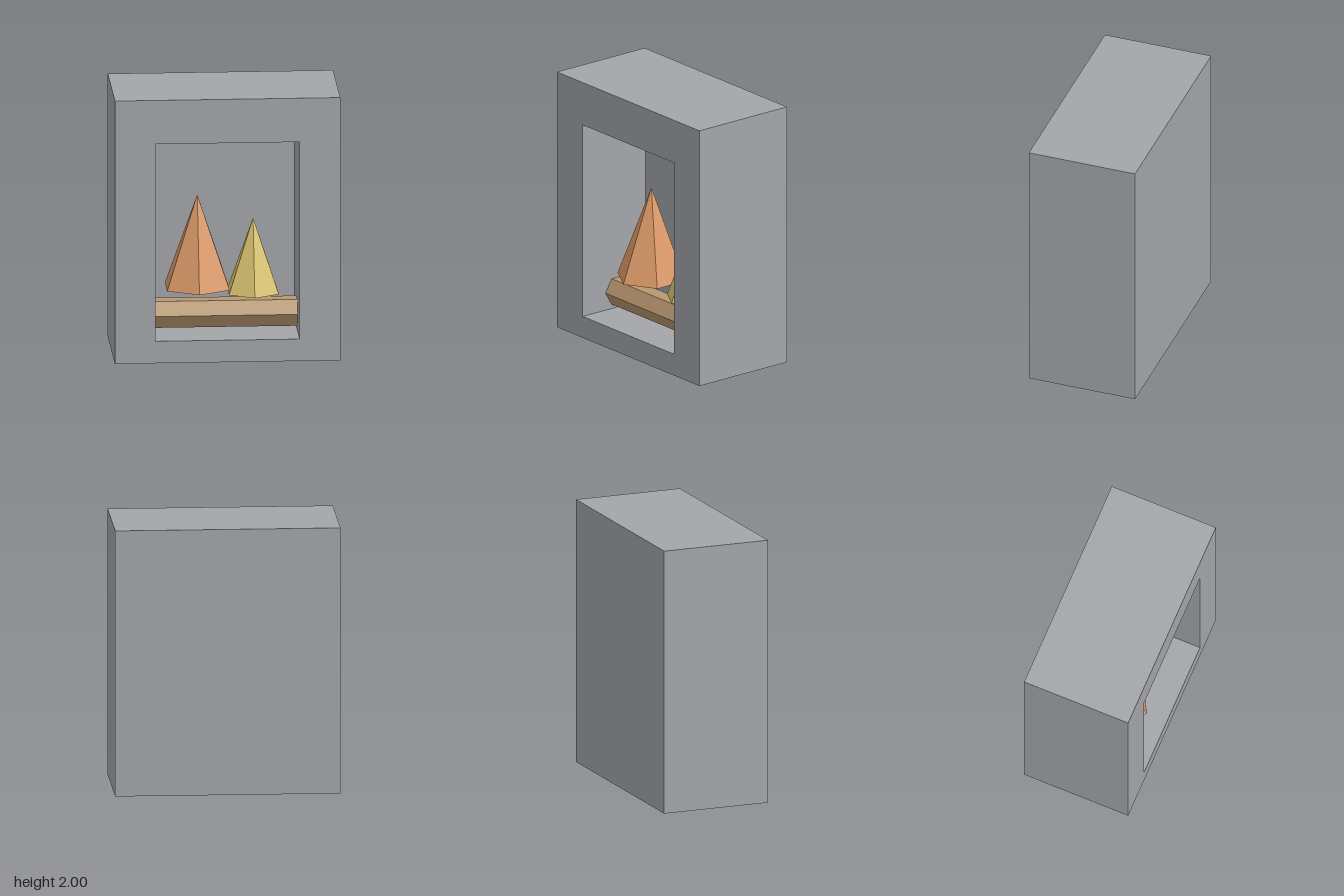
import * as THREE from 'three';

const WIDTH = 1.667, HEIGHT = 2, DEPTH = 0.833;
const OPENING = { halfWidth: 0.533, bottom: 0.167, top: 1.667, depth: 0.6 };

const material = (name, color) => {
  const m = new THREE.MeshStandardMaterial({ color });
  m.name = name;
  return m;
};

// Traces a rectangle into a shape or hole path
function rectangle(path, x, y0, y1) {
  path.moveTo(-x, y0);
  path.lineTo(x, y0);
  path.lineTo(x, y1);
  path.lineTo(-x, y1);
  path.closePath();
  return path;
}

export function createModel() {
  const group = new THREE.Group();
  group.name = 'fireplace';

  const stone = material('grey stone', 0xa3a5a9);
  const wood = material('brown wood', 0xb8976f);
  const orange = material('orange flame', 0xdc9a69);
  const yellow = material('yellow flame', 0xdac470);

  const add = (name, geometry, mat, x, y, z) => {
    // Separate corners give each face its own normal
    const flat = geometry.index ? geometry.toNonIndexed() : geometry;
    flat.computeVertexNormals();
    const mesh = new THREE.Mesh(flat, mat);
    mesh.name = name;
    mesh.position.set(x, y, z);
    group.add(mesh);
    return mesh;
  };

  // Surround with a rectangular opening, closed by a thick back wall
  const outline = rectangle(new THREE.Shape(), WIDTH / 2, 0, HEIGHT);
  outline.holes.push(rectangle(new THREE.Path(), OPENING.halfWidth, OPENING.bottom, OPENING.top));
  const surround = new THREE.ExtrudeGeometry(outline, { depth: OPENING.depth, bevelEnabled: false });
  const backZ = DEPTH / 2 - OPENING.depth;
  add('surround', surround, stone, 0, 0, backZ);
  const wall = DEPTH - OPENING.depth;
  add('backWall', new THREE.BoxGeometry(WIDTH, HEIGHT, wall), stone, 0, HEIGHT / 2, backZ - wall / 2);

  // Six-sided log lying across the opening, flat side up
  const log = new THREE.CylinderGeometry(0.1155, 0.1155, OPENING.halfWidth * 2, 6);
  log.rotateZ(Math.PI / 2);
  add('log', log, wood, 0, 0.3, 0.083);

  // Six-sided flames, one edge facing forward
  const flames = [
    ['largeFlame', orange, 0.267, 0.7, -0.2, 0.483, 0.033],
    ['smallFlame', yellow, 0.213, 0.56, 0.217, 0.423, -0.033],
  ];
  for (const [name, mat, radius, height, x, base, z] of flames) {
    add(name, new THREE.ConeGeometry(radius, height, 6), mat, x, base + height / 2, z);
  }

  return group;
}
